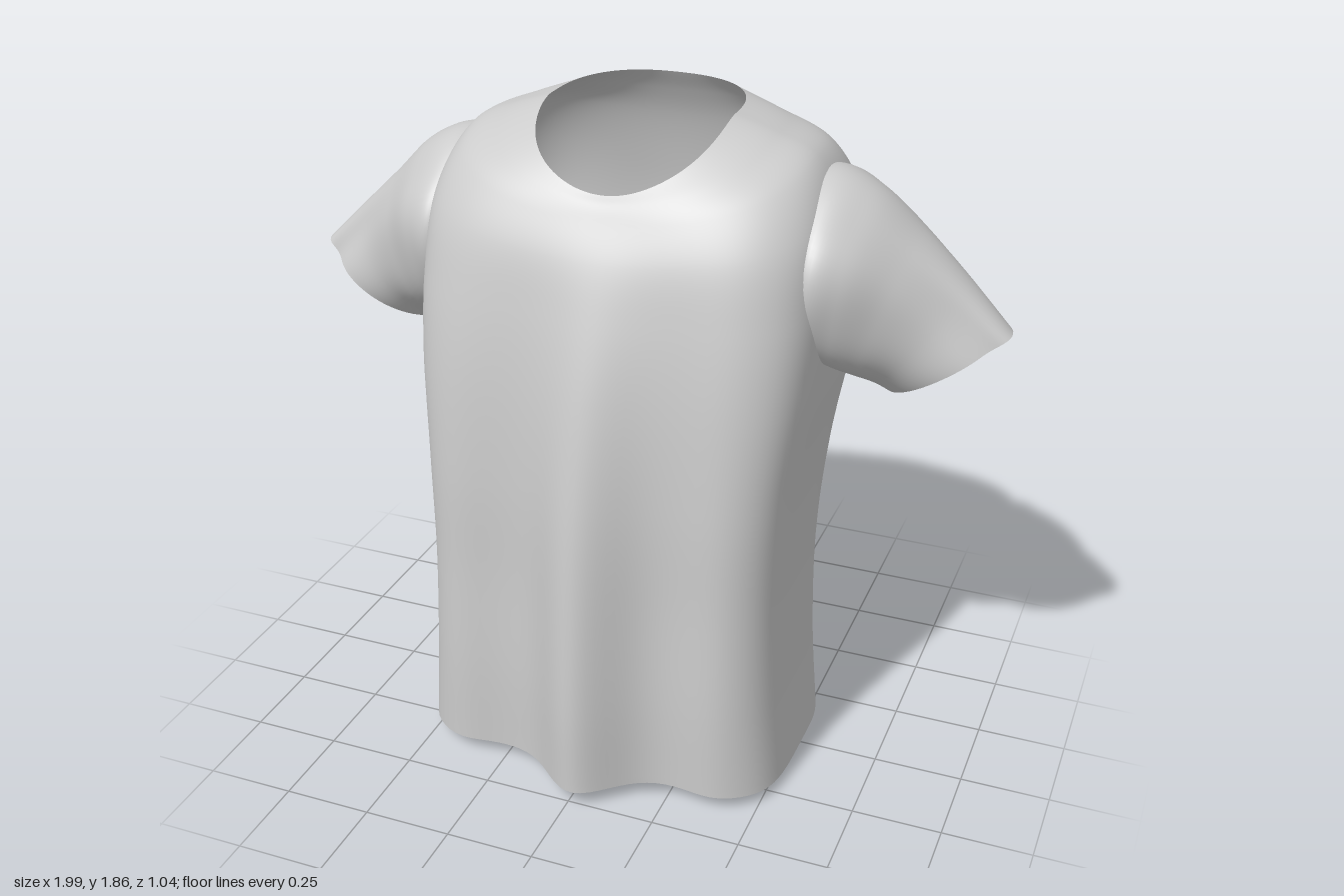
import * as THREE from 'three';

const cloth = new THREE.MeshStandardMaterial({ color: 0xcccccc, side: THREE.DoubleSide });
const bump = (v, centre, width) => Math.exp(-(((v - centre) / width) ** 2));

// Smooth open tube through rings: point(section, angle, t) gives a point on one ring.
function loft(name, sections, point, columns, rows, skip = () => false) {
  const position = [], index = [];
  const curves = Array.from({ length: columns }, (_, j) => {
    const angle = (j / columns) * Math.PI * 2;
    return new THREE.CatmullRomCurve3(sections.map((s, i) => point(s, angle, i / (sections.length - 1))));
  });
  const grid = [];
  for (let i = 0; i <= rows; i++) {
    for (const curve of curves) {
      const p = curve.getPoint(i / rows);
      grid.push(p);
      position.push(p.x, p.y, p.z);
    }
  }
  for (let i = 0; i < rows; i++) {
    for (let j = 0; j < columns; j++) {
      const k = (j + 1) % columns;
      const a = i * columns + j, b = i * columns + k, c = a + columns, d = b + columns;
      if (!skip(grid[a])) index.push(a, b, c, b, d, c);
    }
  }
  const geometry = new THREE.BufferGeometry();
  geometry.setAttribute('position', new THREE.Float32BufferAttribute(position, 3));
  geometry.setIndex(index);
  geometry.computeVertexNormals();
  const mesh = new THREE.Mesh(geometry, cloth);
  mesh.name = name;
  return mesh;
}

// Body rings from hem to neckline: height at front, side, back; half width;
// front z; back z; fold depth; squareness of front and back corners
const bodySections = [
  [0.05, 0.025, 0, 0.535, 0.52, -0.535, 0.14, 6, 2],
  [0.3, 0.3, 0.3, 0.515, 0.525, -0.515, 0.14, 6, 2.05],
  [0.6, 0.6, 0.6, 0.505, 0.51, -0.495, 0.13, 6, 2.3],
  [0.9, 0.9, 0.9, 0.515, 0.48, -0.485, 0.1, 5.5, 3.2],
  [1.2, 1.2, 1.2, 0.545, 0.425, -0.505, 0.06, 4.5, 5.5],
  [1.4, 1.42, 1.42, 0.555, 0.37, -0.49, 0.03, 3.8, 6],
  [1.54, 1.63, 1.58, 0.54, 0.32, -0.455, 0.01, 3.2, 4.5],
  [1.63, 1.76, 1.72, 0.475, 0.27, -0.41, 0, 2.8, 3.4],
  [1.67, 1.81, 1.8, 0.37, 0.245, -0.37, 0, 2.7, 2.8],
  [1.69, 1.85, 1.86, 0.255, 0.225, -0.33, 0, 2.6, 2.6],
];

function bodyPoint([yFront, ySide, yBack, width, zFront, zBack, fold, nFront, nBack], angle) {
  const s = Math.sin(angle), c = Math.cos(angle);
  const n = c > 0 ? nFront : nBack;
  const r = (Math.abs(s) ** n + Math.abs(c) ** n) ** (-1 / n);
  const front = zFront - fold, back = zBack + fold * 0.18;
  const x = width * r * s;
  let z = (front + back) / 2 + ((front - back) / 2) * r * c;
  // Hanging folds: one deep centre pleat in front, shallow waves behind
  const weight = Math.min(1, Math.abs(r * c)) ** 2;
  if (c > 0) z += weight * fold * (bump(x, 0.015, 0.13) + 0.15 * bump(Math.abs(x), 0.39, 0.09));
  else z += weight * fold * 0.2 * Math.cos((x * Math.PI * 2) / 0.36);
  const yEnd = c > 0 ? yFront : yBack;
  return new THREE.Vector3(x, ySide + (yEnd - ySide) * Math.abs(c) ** 1.7, z);
}

// Sleeve rings from inside the shoulder to the cuff: top x, y; bottom x, y; front z; back z
const sleeveSections = [
  [0.42, 1.72, 0.47, 1.27, 0.11, -0.33],
  [0.53, 1.725, 0.51, 1.22, 0.18, -0.41],
  [0.63, 1.68, 0.555, 1.19, 0.155, -0.415],
  [0.75, 1.575, 0.6, 1.15, 0.09, -0.44],
  [0.88, 1.45, 0.635, 1.125, 0.03, -0.445],
  [1.0, 1.33, 0.665, 1.11, 0, -0.43],
];

function sleevePoint(side) {
  return ([tx, ty, bx, by, zFront, zBack], angle, t) => {
    const a = angle > Math.PI ? angle - Math.PI * 2 : angle;
    const back = a * side; // negative towards the back
    // Creases either side of the top ridge, plus light wrinkles
    const r = 1 - t * (0.14 * bump(back, -0.42, 0.28) + 0.08 * bump(back, 0.75, 0.3))
      + 0.02 * Math.sin(t * Math.PI) * Math.sin(5 * back + 6 * t);
    const u = r * Math.cos(a), v = r * Math.sin(a) * side;
    const z = (zFront + zBack) / 2 + ((zFront - zBack) / 2) * v + 0.07 * t * Math.max(0, u) ** 4;
    // The back of the cuff is drawn in towards the body
    const drawnIn = 0.08 * t * t * bump(back, -0.8, 0.5);
    return new THREE.Vector3(
      side * ((tx + bx) / 2 + ((tx - bx) / 2) * u - drawnIn),
      (ty + by) / 2 + ((ty - by) / 2) * u,
      z,
    );
  };
}

// Opening in the body wall, hidden under the sleeve
const inArmhole = (p) =>
  Math.abs(p.x) > 0.48 && ((p.y - 1.45) / 0.18) ** 2 + ((p.z + 0.11) / 0.2) ** 2 < 1;

export function createModel() {
  const shirt = new THREE.Group();
  shirt.name = 'shirt';
  shirt.add(loft('body', bodySections, bodyPoint, 160, 90, inArmhole));
  shirt.add(loft('leftSleeve', sleeveSections, sleevePoint(1), 72, 40));
  shirt.add(loft('rightSleeve', sleeveSections, sleevePoint(-1), 72, 40));
  return shirt;
}
